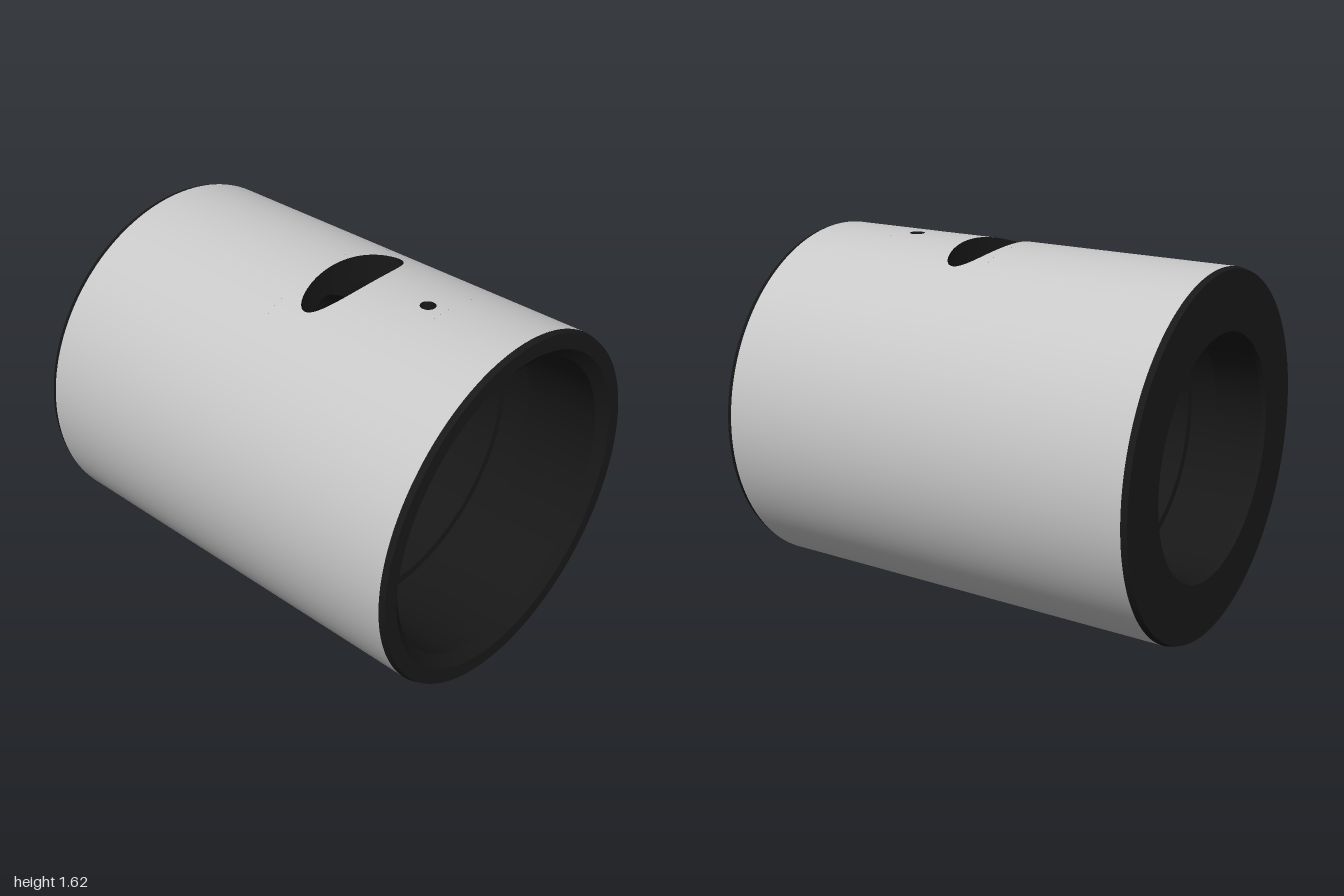
import * as THREE from 'three';
import { mergeGeometries, toCreasedNormals } from 'three/addons/utils/BufferGeometryUtils.js';

const R = 0.808;            // outer radius
const BORE = 0.68;          // wide bore
const GROOVE = 0.72;        // groove in the wide bore
const A = Math.PI / 6;      // half angle of the top strip holding the holes
const PORT = { cx: 0.12, rx: 0.108, rz: 0.3 };
const PIN = { cx: 0.52, rx: 0.034, rz: 0.034 };

// Surface from f(u, v), u and v in 0..1
function grid(nu, nv, f, flip = false) {
  const pos = [], idx = [];
  for (let i = 0; i <= nu; i++)
    for (let j = 0; j <= nv; j++) pos.push(...f(i / nu, j / nv));
  for (let i = 0; i < nu; i++)
    for (let j = 0; j < nv; j++) {
      const a = i * (nv + 1) + j, b = a + 1, c = a + nv + 1, d = c + 1;
      if (flip) idx.push(a, c, b, b, c, d);
      else idx.push(a, b, c, b, d, c);
    }
  const g = new THREE.BufferGeometry();
  g.setAttribute('position', new THREE.Float32BufferAttribute(pos, 3));
  g.setIndex(idx);
  g.computeVertexNormals();
  return g;
}

// Cylindrical wall along x, with elliptical holes in its top strip
function wall(r, x0, x1, holes, inward = false) {
  const on = (x, a) => [x, r * Math.cos(a), r * Math.sin(a)];
  const sheet = (xa, xb, a0, a1, n) =>
    grid(1, n, (u, v) => on(xa + u * (xb - xa), a0 + v * (a1 - a0)), inward);
  const parts = [sheet(x0, x1, A, 2 * Math.PI - A, 120)];
  let x = x0;
  for (const { hole, from, to } of holes) {
    if (from > x) parts.push(sheet(x, from, -A, A, 24));
    parts.push(grid(6, 96, (s, v) => {
      const t = v * 2 * Math.PI, c = Math.cos(t), k = Math.sin(t);
      const m = Math.max(Math.abs(c), Math.abs(k));
      const hx = hole.cx + hole.rx * c, ha = Math.asin(hole.rz * k / r);
      const ex = hole.cx + (c / m) * (c > 0 ? to - hole.cx : hole.cx - from);
      return on(hx + s * (ex - hx), ha + s * ((k / m) * A - ha));
    }, inward));
    x = to;
  }
  if (x < x1) parts.push(sheet(x, x1, -A, A, 24));
  const g = mergeGeometries(parts);
  // exact radial normals
  const p = g.attributes.position, n = g.attributes.normal, k = (inward ? -1 : 1) / r;
  for (let i = 0; i < p.count; i++) n.setXYZ(i, 0, p.getY(i) * k, p.getZ(i) * k);
  return g;
}

// Side of a hole between two radii
function holeSide({ cx, rx, rz }, inner) {
  return grid(1, 96, (u, v) => {
    const t = v * 2 * Math.PI, r = R + u * (inner - R), z = rz * Math.sin(t);
    return [cx + rx * Math.cos(t), Math.sqrt(r * r - z * z), z];
  }, true);
}

// Turned surface about x, profile given as [x, radius]
function turned(profile) {
  const g = new THREE.LatheGeometry(profile.map(([x, r]) => new THREE.Vector2(r, x)), 128);
  g.rotateZ(-Math.PI / 2);
  return toCreasedNormals(g, 0.4);
}

export function createModel() {
  const group = new THREE.Group();
  const grey = new THREE.MeshStandardMaterial({ color: 0xcccccc });
  const dark = new THREE.MeshStandardMaterial({ color: 0x181818 });
  const add = (name, geometry, material) => {
    const mesh = new THREE.Mesh(geometry, material);
    mesh.name = name;
    mesh.position.y = R;
    group.add(mesh);
  };

  // Outer sleeve with both holes
  add('outerSleeve', wall(R, -0.975, 0.975, [
    { hole: PORT, from: -0.02, to: 0.44 },
    { hole: PIN, from: 0.44, to: 0.6 },
  ]), grey);

  // Wide end: chamfers, rim and bore down to the groove
  add('wideEnd', turned([[0.975, R], [1, 0.8], [1, 0.73], [0.96, BORE], [0.6, BORE], [0.6, GROOVE]]), dark);
  add('grooveFloor', wall(GROOVE, 0.44, 0.6, [{ hole: PIN, from: 0.44, to: 0.6 }], true), dark);
  add('grooveShoulder', turned([[0.44, GROOVE], [0.44, BORE]]), dark);
  add('wideBore', wall(BORE, -0.2, 0.44, [{ hole: PORT, from: -0.02, to: 0.44 }], true), dark);

  // Narrow end: step, grooved narrow bore and rim
  add('narrowEnd', turned([
    [-0.2, BORE], [-0.2, 0.53], [-0.62, 0.53], [-0.62, 0.57], [-0.76, 0.57],
    [-0.76, 0.53], [-0.98, 0.53], [-1, 0.54], [-1, 0.8], [-0.975, R],
  ]), dark);

  // Hole sides
  add('portSide', holeSide(PORT, BORE), dark);
  add('pinHoleSide', holeSide(PIN, GROOVE), dark);

  return group;
}
